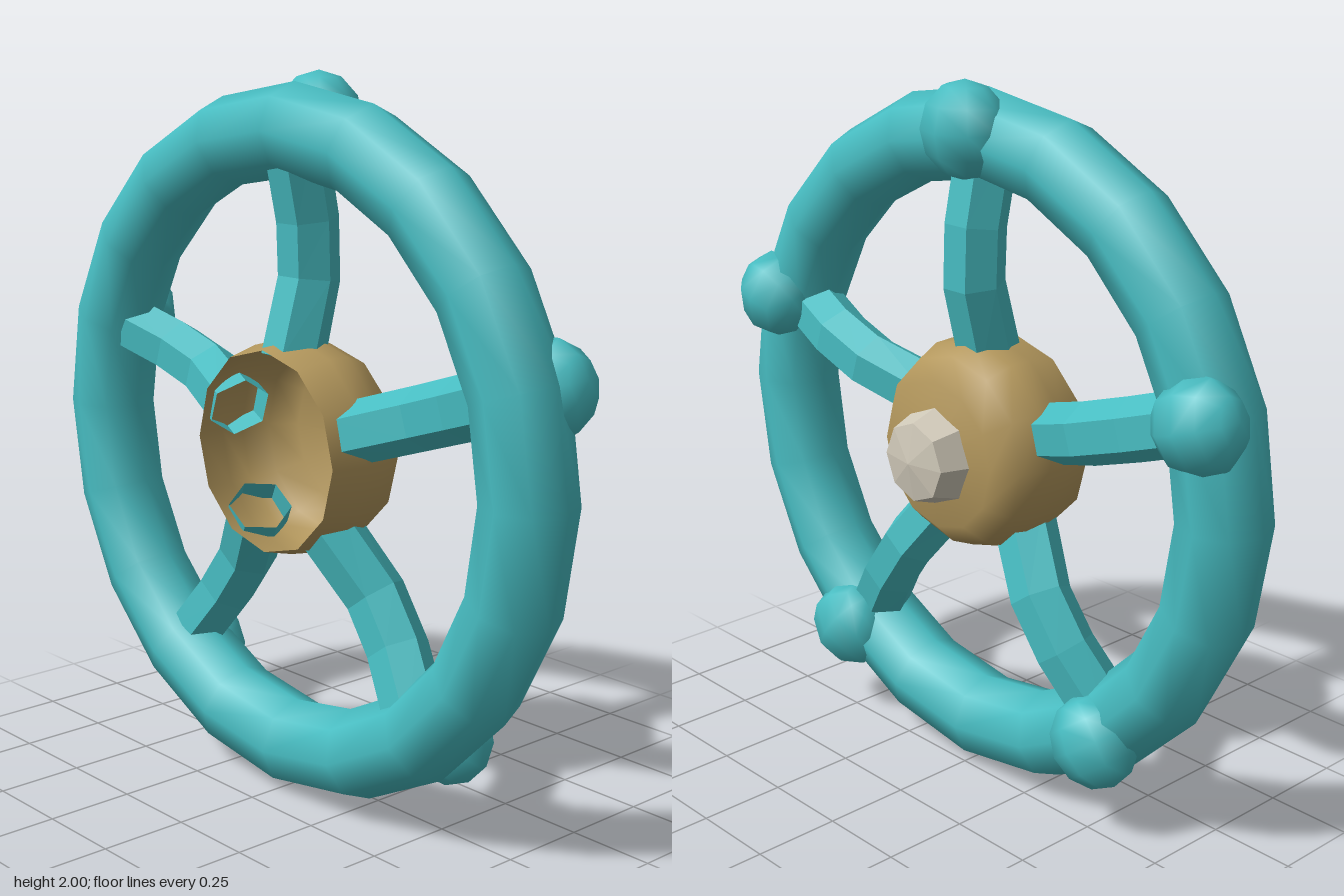
import * as THREE from 'three';

const CENTRE_Y = 0.987;

// Gives every face its own normal
function faceted(geometry) {
  const g = geometry.toNonIndexed();
  g.computeVertexNormals();
  return g;
}

// Turned part around the z axis, from [radius, z] points running back to front
function turned(points, sides) {
  const profile = points.map(([r, z]) => new THREE.Vector2(r, z));
  return new THREE.LatheGeometry(profile, sides).rotateX(Math.PI / 2);
}

// Open six-sided tube running outward along y, bowed towards the back
function spokeGeometry() {
  // [distance from centre, z, slope of z]
  const path = [[0.24, 0.095, -0.32], [0.46, 0.035, -0.12], [0.62, 0.04, 0.12], [0.86, 0.09, 0.2]];
  const g = new THREE.CylinderGeometry(0.086, 0.086, 3, 6, 3, true, Math.PI / 2);
  const p = g.attributes.position;
  for (let i = 0; i < p.count; i++) {
    const [r, z, slope] = path[Math.round(p.getY(i) + 1.5)];
    p.setXYZ(i, p.getX(i), r - p.getZ(i) * slope, z + p.getZ(i));
  }
  return faceted(g);
}

export function createModel() {
  const model = new THREE.Group();
  model.name = 'valveWheel';

  const teal = new THREE.MeshStandardMaterial({ color: 0x47bcc1, side: THREE.DoubleSide });
  teal.name = 'teal paint';
  const brass = new THREE.MeshStandardMaterial({ color: 0xb4985d, side: THREE.DoubleSide });
  brass.name = 'brass';
  const steel = new THREE.MeshStandardMaterial({ color: 0xcfc8b8 });
  steel.name = 'pale steel';

  const add = (parent, name, geometry, material) => {
    const mesh = new THREE.Mesh(geometry, material);
    mesh.name = name;
    parent.add(mesh);
    return mesh;
  };

  const wheel = new THREE.Group();
  wheel.name = 'wheel';
  wheel.position.y = CENTRE_Y;
  model.add(wheel);

  // Outer ring
  add(wheel, 'rim', new THREE.TorusGeometry(0.86, 0.125, 8, 20), teal).position.z = 0.085;

  // Hollow hub, open at the front
  add(wheel, 'hub', turned([
    [0, -0.125], [0.21, -0.105], [0.27, -0.045], [0.302, 0.03], [0.305, 0.1], [0.28, 0.2],
  ], 12), brass);

  // Nut behind the hub
  add(wheel, 'nut', faceted(turned([
    [0, -0.21], [0.112, -0.19], [0.142, -0.1],
  ], 8)), steel);

  // Five spokes, each with a round knob where it meets the rim
  const spoke = spokeGeometry();
  const knob = new THREE.SphereGeometry(0.133, 8, 6).scale(1, 1, 0.81);
  for (let i = 0; i < 5; i++) {
    const arm = new THREE.Group();
    arm.name = `arm${i + 1}`;
    arm.rotation.z = (i * 2 * Math.PI) / 5;
    add(arm, 'spoke', spoke, teal);
    add(arm, 'knob', knob, teal).position.y = 0.88;
    wheel.add(arm);
  }

  return model;
}
